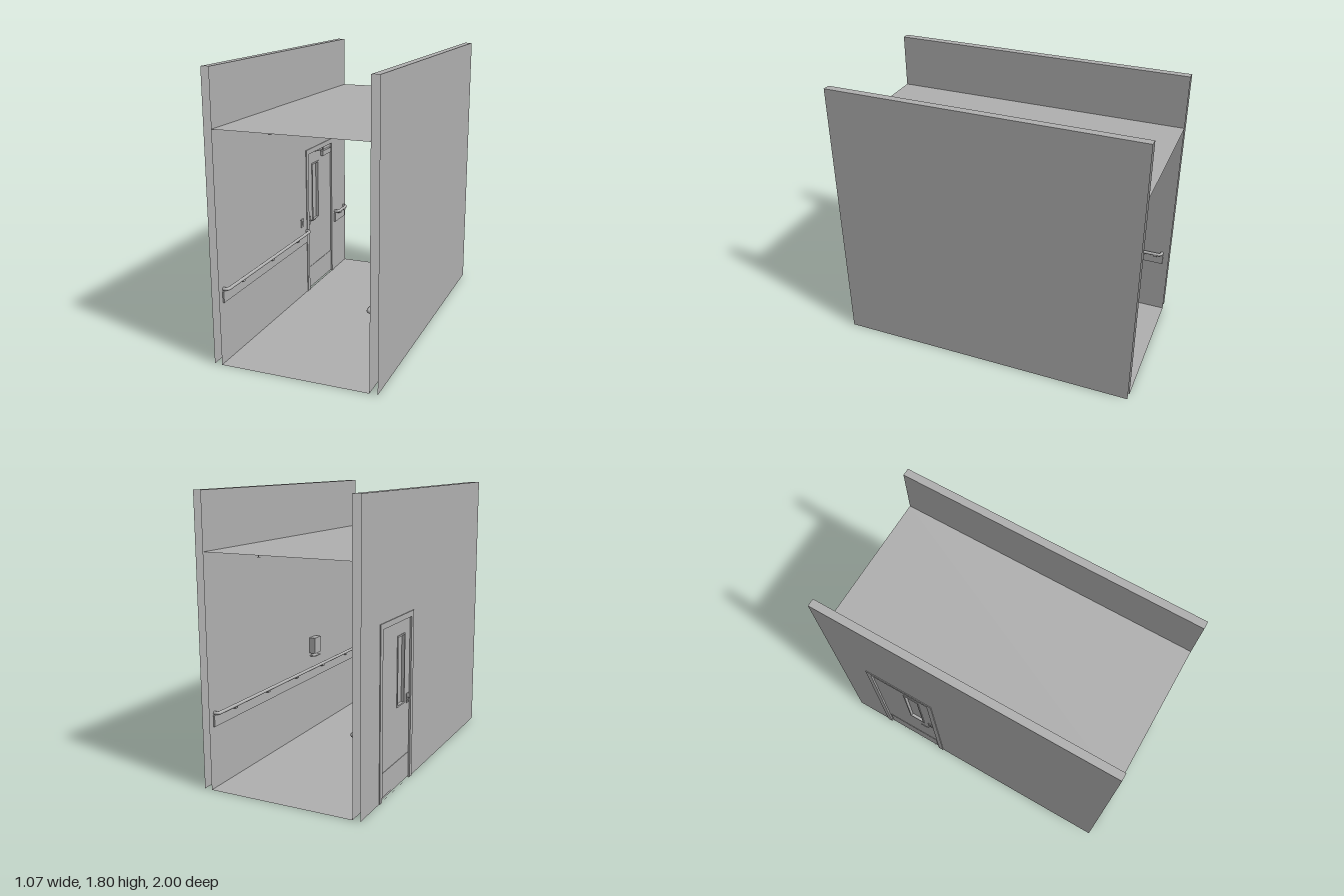
import * as THREE from 'three';

const LEFT = 0.485, RIGHT = -0.465, TOP = 1.8, CEILING = 1.45, WALL = 0.05;
const DOOR = { z0: -0.75, z1: -0.255, h: 1.07 };

export function createModel() {
  const model = new THREE.Group();
  const grey = new THREE.MeshStandardMaterial({ color: 0xb0b0b0, side: THREE.DoubleSide });
  grey.name = 'plain grey';

  const add = (name, geometry, parent = model) => {
    const mesh = new THREE.Mesh(geometry, grey);
    mesh.name = name;
    parent.add(mesh);
    return mesh;
  };
  // Box given by its minimum and maximum corners
  const box = (name, a, b, parent) => {
    const g = new THREE.BoxGeometry(b[0] - a[0], b[1] - a[1], b[2] - a[2]);
    g.translate((a[0] + b[0]) / 2, (a[1] + b[1]) / 2, (a[2] + b[2]) / 2);
    return add(name, g, parent);
  };
  // Rectangle in the z-y plane
  const rect = (z0, y0, z1, y1, Type = THREE.Shape) => {
    const s = new Type();
    s.moveTo(z0, y0);
    s.lineTo(z1, y0);
    s.lineTo(z1, y1);
    s.lineTo(z0, y1);
    s.closePath();
    return s;
  };
  const upright = (name, shape, x, depth = 0) => {
    const g = depth ? new THREE.ExtrudeGeometry(shape, { depth, bevelEnabled: false })
      : new THREE.ShapeGeometry(shape);
    g.rotateY(-Math.PI / 2);
    return add(name, g.translate(x, 0, 0));
  };
  const flat = (name, x0, x1, z0, z1, y, up) => {
    const g = new THREE.PlaneGeometry(x1 - x0, z1 - z0).rotateX(up ? -Math.PI / 2 : Math.PI / 2);
    return add(name, g.translate((x0 + x1) / 2, y, (z0 + z1) / 2));
  };

  // Floor, ceiling and hollow walls with open ends
  flat('floor', RIGHT, LEFT, -1, 1, 0, true);
  flat('ceiling', RIGHT, LEFT, -1, 1, CEILING, true);
  for (const x of [LEFT, LEFT + WALL]) upright('leftWallSheet', rect(-1, 0, 1, TOP), x);
  for (const x of [RIGHT, RIGHT - WALL]) {
    const s = rect(-1, 0, 1, TOP);
    s.holes.push(rect(DOOR.z0 + 0.02, 0.001, DOOR.z1 - 0.02, DOOR.h - 0.02, THREE.Path));
    upright('rightWallSheet', s, x);
  }
  flat('leftWallTop', LEFT, LEFT + WALL, -1, 1, TOP, true);
  flat('rightWallTop', RIGHT - WALL, RIGHT, -1, 1, TOP, true);

  // Door frame
  const fx0 = -0.52, fx1 = -0.46, fw = 0.035;
  box('doorJamb', [fx0, 0, DOOR.z0], [fx1, DOOR.h, DOOR.z0 + fw]);
  box('doorJamb', [fx0, 0, DOOR.z1 - fw], [fx1, DOOR.h, DOOR.z1]);
  box('doorHead', [fx0, DOOR.h - fw, DOOR.z0 + fw], [fx1, DOOR.h, DOOR.z1 - fw]);

  // Door leaf with narrow window
  const leaf = rect(DOOR.z0 + fw, 0.006, DOOR.z1 - fw, DOOR.h - fw);
  leaf.holes.push(rect(-0.475, 0.52, -0.38, 0.94, THREE.Path));
  upright('doorLeaf', leaf, -0.472, 0.036);
  box('windowPane', [-0.493, 0.52, -0.475], [-0.487, 0.94, -0.38]);
  for (const side of [-1, 1]) {
    const face = -0.49 + side * 0.018;
    const plate = (name, y0, y1, z0, z1, t) => box(name,
      [Math.min(face, face + side * t), y0, z0], [Math.max(face, face + side * t), y1, z1]);
    plate('kickPlate', 0.02, 0.17, -0.7, -0.305, 0.003);
    plate('windowBead', 0.52, 0.94, -0.485, -0.475, 0.004);
    plate('windowBead', 0.52, 0.94, -0.38, -0.37, 0.004);
    plate('windowBead', 0.51, 0.52, -0.485, -0.37, 0.004);
    plate('windowBead', 0.94, 0.95, -0.485, -0.37, 0.004);
    plate('handlePlate', 0.5, 0.56, -0.335, -0.305, 0.005);
    // Lever handle
    const y = 0.53;
    const path = new THREE.CatmullRomCurve3([
      [face, -0.32], [-0.49 + side * 0.036, -0.32], [-0.49 + side * 0.04, -0.33], [-0.49 + side * 0.041, -0.38],
    ].map(([x, z]) => new THREE.Vector3(x, y, z)), false, 'catmullrom', 0.1);
    add('leverHandle', new THREE.TubeGeometry(path, 16, 0.004, 8));
  }

  // Door closer with its arm
  box('doorCloser', [-0.472, 0.975, -0.68], [-0.45, 1.012, -0.53]);
  const arm = new THREE.CatmullRomCurve3([
    new THREE.Vector3(-0.462, 1.012, -0.56), new THREE.Vector3(-0.462, 1.03, -0.56),
    new THREE.Vector3(-0.435, 1.036, -0.47), new THREE.Vector3(-0.465, 1.036, -0.4),
  ], false, 'catmullrom', 0.05);
  add('closerArm', new THREE.TubeGeometry(arm, 16, 0.003, 6));

  // Handrail with returns, brackets and bumper strip; local +x points into the room
  const handrail = (side, z0, z1) => {
    const rail = new THREE.Group();
    rail.name = 'handrail';
    rail.position.x = side > 0 ? LEFT : RIGHT;
    rail.scale.x = -side;
    model.add(rail);
    const p = (x, z) => new THREE.Vector3(x, 0.475, z);
    const path = new THREE.CurvePath();
    const out = 0.033, r = 0.025;
    path.add(new THREE.LineCurve3(p(0.002, z0), p(out - r, z0)));
    path.add(new THREE.QuadraticBezierCurve3(p(out - r, z0), p(out, z0), p(out, z0 + r)));
    path.add(new THREE.LineCurve3(p(out, z0 + r), p(out, z1 - r)));
    path.add(new THREE.QuadraticBezierCurve3(p(out, z1 - r), p(out, z1), p(out - r, z1)));
    path.add(new THREE.LineCurve3(p(out - r, z1), p(0.002, z1)));
    add('railBar', new THREE.TubeGeometry(path, Math.ceil((z1 - z0) * 100), 0.011, 10), rail);
    box('bumperStrip', [0.001, 0.39, z0 - 0.01], [0.011, 0.46, z1 + 0.01], rail);
    const n = Math.max(2, Math.round((z1 - z0) / 0.4));
    for (let i = 0; i < n; i++) {
      const z = z0 + (z1 - z0) * (i + 0.5) / n;
      box('railBracket', [0.008, 0.453, z - 0.012], [0.036, 0.466, z + 0.012], rail);
    }
  };
  handrail(1, -0.95, 0.95);
  handrail(-1, -0.95, -0.78);
  handrail(-1, -0.24, 0.95);

  // Wall fittings
  upright('wallStrip', rect(-0.98, 1.275, -0.5, 1.3), LEFT - 0.003);
  box('dispenser', [0.437, 0.58, 0.23], [0.482, 0.695, 0.32]);
  box('dispenserTray', [0.44, 0.556, 0.235], [0.484, 0.562, 0.315]);
  box('switchPlate', [-0.464, 0.525, -0.19], [-0.458, 0.585, -0.15]);
  box('switchButton', [-0.458, 0.54, -0.18], [-0.454, 0.57, -0.16]);

  // Ceiling panels, smoke detector and sprinklers
  for (const z of [-0.6, 0.6]) box('ceilingPanel', [-0.14, 1.445, z - 0.15], [0.16, 1.449, z + 0.15]);
  const detector = [[0, 1.432], [0.02, 1.433], [0.026, 1.442], [0.05, 1.444], [0.05, 1.449]];
  add('smokeDetector', new THREE.LatheGeometry(detector.map(([r, y]) => new THREE.Vector2(r, y)), 24))
    .position.set(0.01, 0, 0);
  const head = [[0, 1.427], [0.009, 1.427], [0.009, 1.43], [0.003, 1.431], [0.003, 1.445], [0.012, 1.446], [0.012, 1.449]];
  for (const [x, z] of [[0.16, -0.92], [-0.14, 0.92]]) {
    add('sprinkler', new THREE.LatheGeometry(head.map(([r, y]) => new THREE.Vector2(r, y)), 12)).position.set(x, 0, z);
  }
  return model;
}
